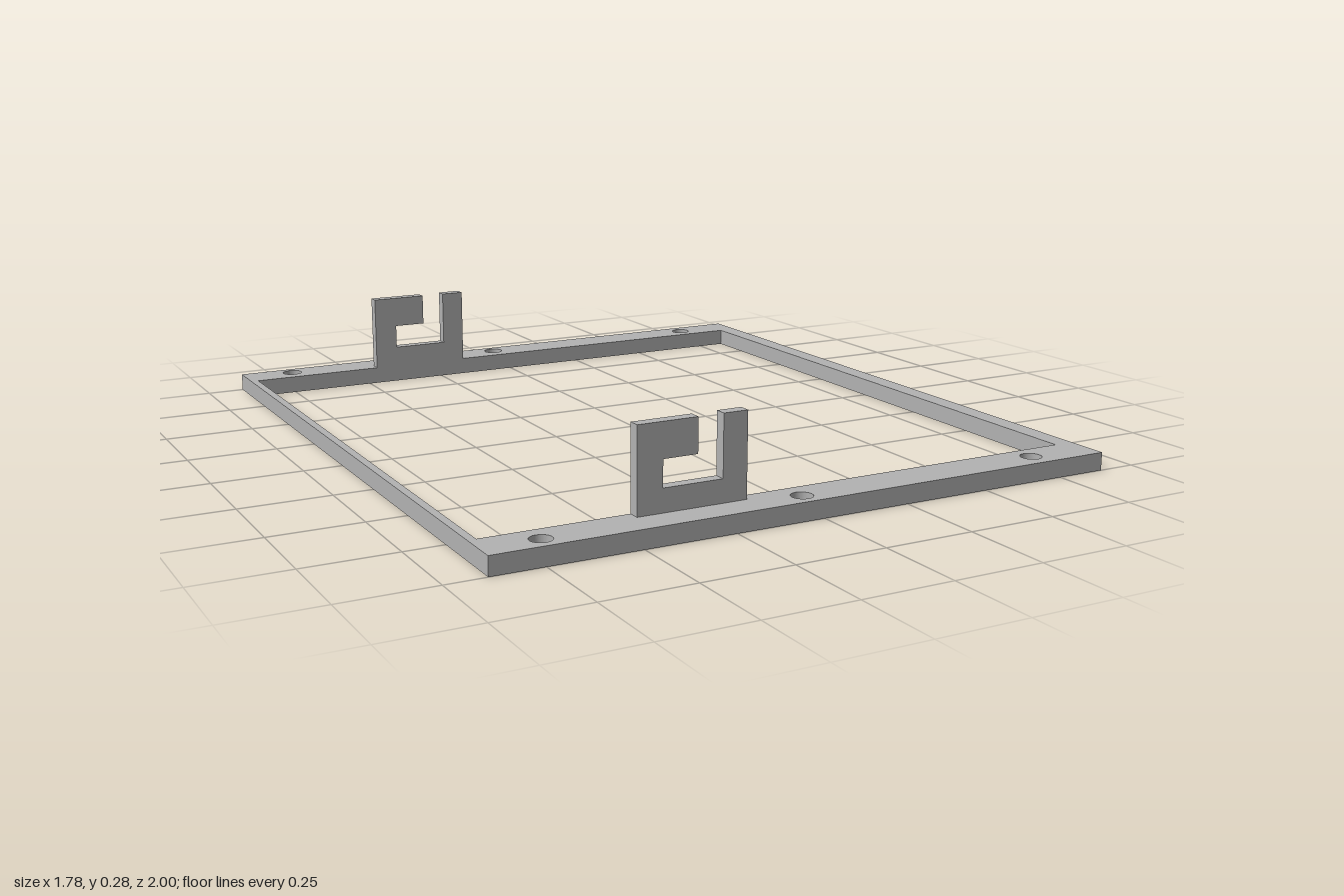
import * as THREE from 'three';

const grey = new THREE.MeshStandardMaterial({ color: 0xb2b2b2 });
grey.name = 'plain grey';

const outline = (points, Type = THREE.Shape) =>
  new Type(points.map(([x, y]) => new THREE.Vector2(x, y)));

const rectangle = (x0, x1, y0, y1, Type) =>
  outline([[x0, y0], [x1, y0], [x1, y1], [x0, y1]], Type);

function extrude(shape, depth) {
  return new THREE.ExtrudeGeometry(shape, { depth, bevelEnabled: false, curveSegments: 32 });
}

export function createModel() {
  const model = new THREE.Group();
  model.name = 'mountingFrame';
  const thickness = 0.05;

  // Flat frame with an off-centre opening; shape y becomes -z
  const frameShape = rectangle(-0.892, 0.892, -1, 1);
  frameShape.holes.push(rectangle(-0.87, 0.835, -0.882, 0.888, THREE.Path));

  // Screw holes along the front and back rails
  const screwHoles = [
    [-0.74, 0.953], [-0.035, 0.953], [0.698, 0.945],
    [-0.74, -0.949], [-0.035, -0.949], [0.698, -0.94],
  ];
  for (const [x, y] of screwHoles) {
    const hole = new THREE.Path();
    hole.absarc(x, y, 0.029, 0, Math.PI * 2, true);
    frameShape.holes.push(hole);
  }
  const frame = new THREE.Mesh(extrude(frameShape, thickness).rotateX(-Math.PI / 2), grey);
  frame.name = 'frame';
  model.add(frame);

  // Upright hooks at the inner edge of each rail
  const hookShape = outline([
    [-0.475, thickness], [-0.172, thickness], [-0.172, 0.275], [-0.24, 0.275],
    [-0.24, 0.112], [-0.405, 0.112], [-0.405, 0.183], [-0.31, 0.183],
    [-0.31, 0.275], [-0.475, 0.275],
  ]);
  for (const [name, z] of [['frontHook', 0.882], ['backHook', -0.92]]) {
    const hook = new THREE.Mesh(extrude(hookShape, 0.032), grey);
    hook.name = name;
    hook.position.z = z;
    model.add(hook);
  }
  return model;
}
